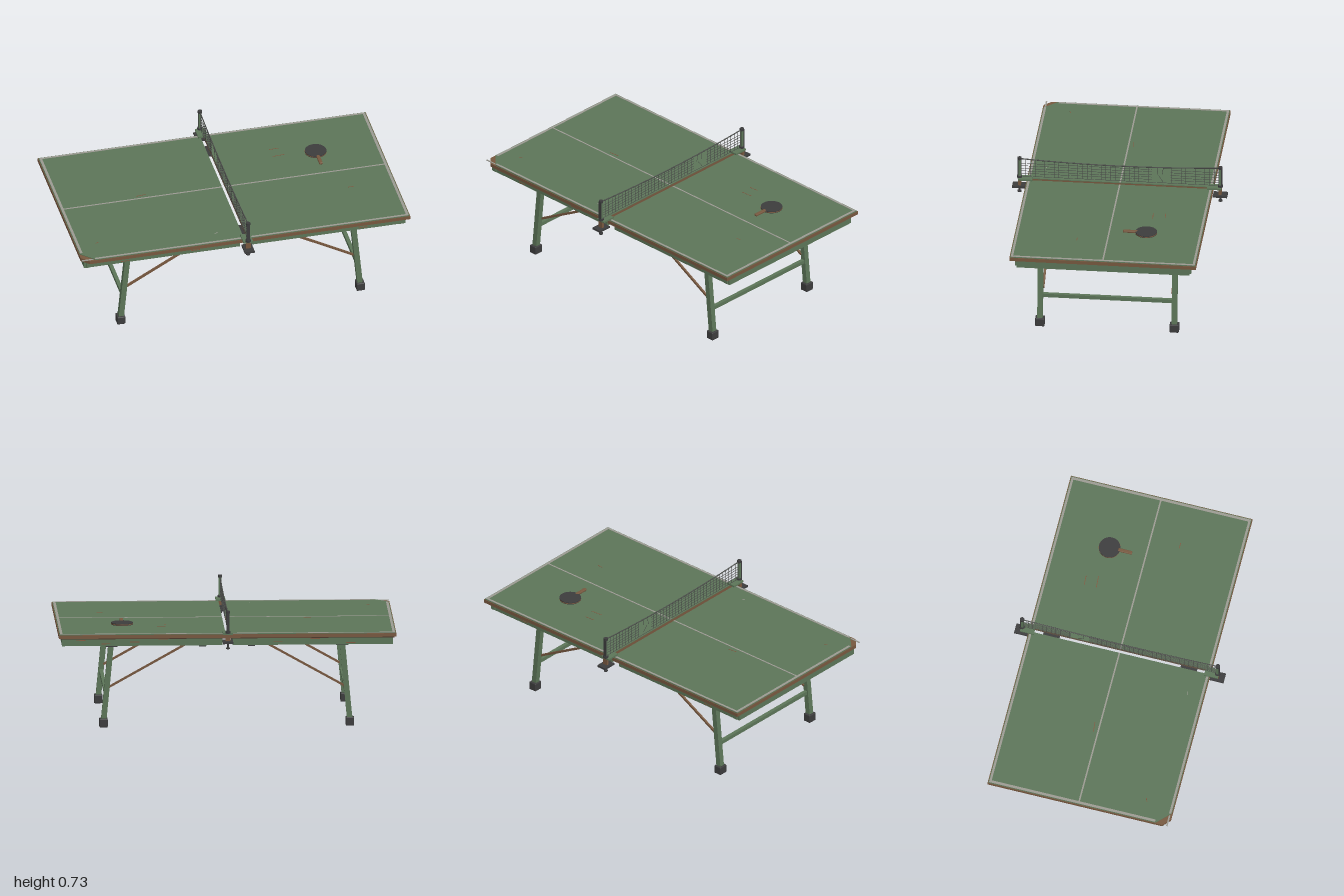
import * as THREE from 'three';
import { RoundedBoxGeometry } from 'three/addons/geometries/RoundedBoxGeometry.js';

const mat = (name, color) => {
  const m = new THREE.MeshStandardMaterial({ color });
  m.name = name;
  return m;
};

export function createModel() {
  const M = {
    green: mat('green paint', 0x5c7558),
    brown: mat('bare wood', 0x77583f),
    under: mat('dark underside wood', 0x4a372b),
    metal: mat('dark metal', 0x3c3c3d),
    line: mat('chalk line', 0x9b9a92),
    net: mat('net cord', 0x4b4d4a),
    rust: mat('rust scuff', 0x80583f),
  };
  const model = new THREE.Group();
  model.name = 'tableTennisTable';

  const add = (parent, name, geo, material, x = 0, y = 0, z = 0) => {
    const mesh = new THREE.Mesh(geo, material);
    mesh.name = name;
    mesh.position.set(x, y, z);
    parent.add(mesh);
    return mesh;
  };
  const box = (parent, name, material, w, h, d, x, y, z) =>
    add(parent, name, new THREE.BoxGeometry(w, h, d), material, x, y, z);
  // Square bar running between two points
  const bar = (parent, name, material, a, b, w, d = w) => {
    const p = new THREE.Vector3(...a), q = new THREE.Vector3(...b);
    const mesh = box(parent, name, material, w, d, p.distanceTo(q), 0, 0, 0);
    mesh.position.copy(p).add(q).multiplyScalar(0.5);
    mesh.lookAt(q);
    return mesh;
  };
  // Flat slab from y0 to y1, optionally with one cut front outer corner
  const slab = (parent, name, material, s, x0, x1, z, y0, y1, cut) => {
    const shape = new THREE.Shape();
    const pts = [[s * x0, z], [s * x0, -z], [s * (x1 - cut), -z], [s * x1, -z + cut], [s * x1, z]];
    shape.setFromPoints(pts.map(([x, y]) => new THREE.Vector2(x, y)));
    const geo = new THREE.ExtrudeGeometry(shape, { depth: y1 - y0, bevelEnabled: false });
    geo.rotateX(-Math.PI / 2);
    add(parent, name, geo, material, 0, y0, 0);
  };

  for (const s of [1, -1]) {
    const half = new THREE.Group();
    half.name = s > 0 ? 'leftHalf' : 'rightHalf';
    model.add(half);
    const chip = s < 0 ? 1 : 0.001;

    // Playing surface on a wooden core, with a chipped corner on one half
    slab(half, 'underPanel', M.under, s, 0.014, 0.99, 0.548, 0.553, 0.558, 0.055 * chip);
    slab(half, 'woodCore', M.brown, s, 0.012, 1, 0.555, 0.558, 0.579, 0.045 * chip);
    slab(half, 'playingSurface', M.green, s, 0.012, 0.996, 0.551, 0.579, 0.583, 0.08 * chip);

    // Painted lines
    const lineY = 0.5835;
    box(half, 'endLine', M.line, 0.015, 0.002, s > 0 ? 1.086 : 1.01, s * 0.985, lineY, s > 0 ? 0 : -0.038);
    box(half, 'centreLine', M.line, 0.975, 0.002, 0.009, s * 0.5, lineY, 0);
    for (const z of [1, -1]) {
      const end = s < 0 && z > 0 ? 0.92 : 0.992;
      box(half, 'sideLine', M.line, end - 0.012, 0.002, 0.013, s * (end + 0.012) / 2, lineY, z * 0.541);
    }

    // Apron frame and corner blocks
    for (const z of [1, -1]) {
      box(half, 'sideApron', M.green, 0.95, 0.05, 0.025, s * 0.505, 0.532, z * 0.5025);
      box(half, 'cornerBlock', M.green, 0.025, 0.036, 0.012, s * 0.955, 0.53, z * 0.518);
    }
    box(half, 'endApron', M.green, 0.025, 0.05, 0.98, s * 0.9675, 0.532, 0);
    box(half, 'innerApron', M.green, 0.022, 0.05, 0.98, s * 0.041, 0.532, 0);

    // Steel rails below the frame
    box(half, 'crossRail', M.metal, 0.04, 0.018, 0.92, s * 0.145, 0.499, 0);
    bar(half, 'diagonalRail', M.metal, [s * 0.14, 0.5, -0.45], [s * 0.895, 0.5, 0.45], 0.018, 0.012);

    // Splayed legs, feet, brackets and braces
    for (const z of [0.4, -0.4]) {
      bar(half, 'leg', M.green, [s * 0.73, 0.03, z], [s * 0.685, 0.5, z], 0.032);
      add(half, 'foot', new RoundedBoxGeometry(0.05, 0.052, 0.056, 2, 0.006), M.metal, s * 0.73, 0.026, z);
      box(half, 'legBracket', M.metal, 0.07, 0.018, 0.046, s * 0.682, 0.494, z);
      box(half, 'bracketPad', M.metal, 0.05, 0.055, 0.03, s * 0.682, 0.528, z);
      bar(half, 'brace', M.brown, [s * 0.7, 0.235, z * 0.96], [s * 0.2, 0.515, z * 0.96], 0.012);
    }
    box(half, 'stretcher', M.green, 0.022, 0.022, 0.8, s * 0.713, 0.193, 0);
  }

  // Loose strip of line paint hanging off the chipped corner
  box(model, 'looseStrip', M.line, 0.07, 0.003, 0.009, -0.965, 0.58, 0.541);

  // Net hardware, mirrored front and back
  for (const s of [1, -1]) {
    const clamp = new THREE.Group();
    clamp.name = s > 0 ? 'frontClamp' : 'backClamp';
    model.add(clamp);
    const cyl = (name, m, r, h, y) => add(clamp, name, new THREE.CylinderGeometry(r, r, h, 14), m, 0, y, s * 0.598);
    box(clamp, 'clampTop', M.green, 0.058, 0.01, 0.085, 0, 0.59, s * 0.5625);
    box(clamp, 'clampBack', M.brown, 0.03, 0.055, 0.016, 0, 0.565, s * 0.597);
    box(clamp, 'clampJaw', M.metal, 0.06, 0.012, 0.085, 0, 0.541, s * 0.5975);
    box(clamp, 'post', M.green, 0.016, 0.12, 0.016, 0, 0.655, s * 0.598);
    box(clamp, 'postSleeve', M.metal, 0.02, 0.13, 0.006, 0, 0.655, s * 0.606);
    cyl('postCap', M.metal, 0.013, 0.014, 0.72);
    cyl('postCollar', M.metal, 0.016, 0.012, 0.6);
    cyl('clampScrew', M.metal, 0.005, 0.045, 0.52);
    cyl('screwKnob', M.metal, 0.012, 0.008, 0.503);
    box(model, 'seamHinge', M.metal, 0.05, 0.008, 0.1, 0, 0.553, s * 0.42);
  }

  // Sagging net with a torn patch
  const net = new THREE.Group();
  net.name = 'net';
  model.add(net);
  const topY = (z) => 0.7 + 0.018 * (z / 0.59) ** 2;
  const tape = new THREE.CatmullRomCurve3(
    Array.from({ length: 13 }, (_, i) => -0.59 + (i * 1.18) / 12).map((z) => new THREE.Vector3(0, topY(z), z)));
  add(net, 'topTape', new THREE.TubeGeometry(tape, 36, 0.0035, 6), M.net);
  const cord = 0.002, tear = [-0.3, -0.19];
  for (let i = 0; i <= 42; i++) {
    const z = -0.588 + i * 0.028;
    if (z > tear[0] && z < tear[1]) continue;
    const h = topY(z) - 0.602;
    box(net, 'verticalCord', M.net, cord, h, cord, 0, 0.602 + h / 2, z);
  }
  for (const y of [0.602, 0.621, 0.637, 0.653, 0.671, 0.687]) {
    const spans = y < 0.61 ? [[-0.59, 0.59]] : [[-0.59, tear[0]], [tear[1], 0.59]];
    for (const [a, b] of spans) {
      // The top strand stops where the sagging tape dips to meet it
      box(net, 'horizontalCord', M.net, cord, cord, b - a, 0, y, (a + b) / 2);
    }
  }
  bar(net, 'tornCord', M.net, [0, 0.7, -0.258], [0.004, 0.66, -0.252], cord);
  bar(net, 'tornCord', M.net, [0, 0.7, -0.225], [-0.004, 0.655, -0.22], cord);
  bar(net, 'tornCord', M.net, [0, 0.65, -0.23], [0.004, 0.612, -0.256], cord);

  // Paddle lying on the left half
  const paddle = new THREE.Group();
  paddle.name = 'paddle';
  paddle.position.set(0.613, 0.584, -0.22);
  model.add(paddle);
  const disc = (name, m, r, h, y) => add(paddle, name, new THREE.CylinderGeometry(r, r, h, 36), m, 0, y, 0);
  disc('lowerRubber', M.metal, 0.064, 0.003, 0.0015);
  disc('blade', M.brown, 0.065, 0.005, 0.0055);
  disc('upperRubber', M.metal, 0.064, 0.004, 0.01);
  add(paddle, 'handle', new RoundedBoxGeometry(0.021, 0.013, 0.085, 2, 0.004), M.brown, 0, 0.007, 0.095);

  // Wear marks on the playing surface: x, z, length, turn
  const marks = [[-0.5, -0.03, 0.06, 0.1], [0.38, -0.31, 0.06, 0.05], [0.39, -0.237, 0.075, 0.06],
    [0.73, 0.18, 0.035, 0], [-0.87, 0.385, 0.02, 0.4]];
  for (const [x, z, len, turn] of marks)
    box(model, 'scuff', M.rust, len, 0.001, 0.004, x, 0.5835, z).rotation.y = turn;
  box(model, 'paleScuff', M.line, 0.02, 0.001, 0.004, -0.16, 0.5835, 0.455).rotation.y = 0.2;

  // Chipped paint on the aprons
  for (const s of [1, -1])
    for (const [x, y] of [[-0.73, 0.517], [-0.52, 0.543], [-0.3, 0.525], [0.38, 0.545], [0.55, 0.53], [0.72, 0.52], [0.87, 0.54]])
      box(model, 'apronScuff', M.rust, 0.055, 0.005, 0.002, x, y, s * 0.5152);

  return model;
}
